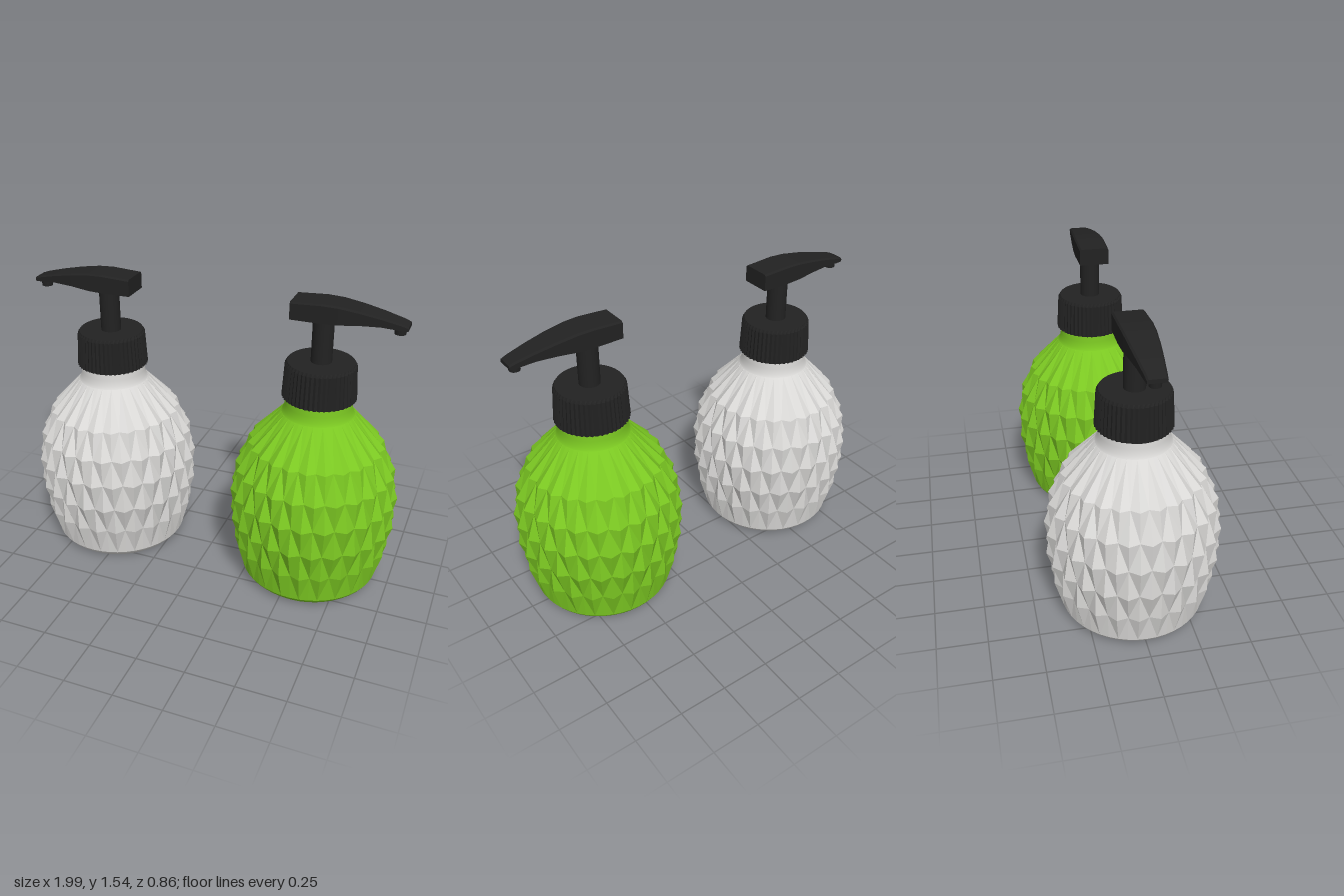
import * as THREE from 'three';

const green = new THREE.MeshStandardMaterial({ color: 0x7cc922 });
green.name = 'lime green';
const white = new THREE.MeshStandardMaterial({ color: 0xdad9d7 });
white.name = 'soft white';
const black = new THREE.MeshStandardMaterial({ color: 0x222222 });
black.name = 'pump black';

// Flat-faced skin over closed rings; each ring runs counter-clockwise seen from the far end.
function skin(rings, capped, flip = () => false) {
  const pos = [];
  const tri = (...pts) => pts.forEach((p) => pos.push(...p));
  const n = rings[0].length;
  for (let j = 0; j < rings.length - 1; j++) {
    for (let i = 0; i < n; i++) {
      const k = (i + 1) % n;
      const a = rings[j][i], b = rings[j][k], c = rings[j + 1][k], d = rings[j + 1][i];
      if (flip(i, j)) { tri(a, b, d); tri(b, c, d); }
      else { tri(a, b, c); tri(a, c, d); }
    }
  }
  if (capped) {
    const first = rings[0], last = rings[rings.length - 1];
    for (let i = 1; i < n - 1; i++) {
      tri(first[0], first[i + 1], first[i]);
      tri(last[0], last[i], last[i + 1]);
    }
  }
  const g = new THREE.BufferGeometry();
  g.setAttribute('position', new THREE.Float32BufferAttribute(pos, 3));
  g.computeVertexNormals();
  return g;
}

// Horizontal ring whose radius depends on the column
function ring(n, y, radius) {
  return Array.from({ length: n }, (_, i) => {
    const a = (i / n) * Math.PI * 2, r = radius(i);
    return [Math.cos(a) * r, y, -Math.sin(a) * r];
  });
}

function lathe(points) {
  return new THREE.LatheGeometry(points.map(([r, y]) => new THREE.Vector2(r, y)), 48);
}

// Body of tall diamonds: alternate columns stand out on alternate rows
function facetedBody() {
  const rows = [[0.36, 0.045], [0.405, 0.2], [0.43, 0.35], [0.433, 0.5],
    [0.41, 0.64], [0.347, 0.78], [0.182, 0.955]];
  const rings = rows.map(([r, y], j) => {
    const plain = j === 0 || j === rows.length - 1;
    return ring(48, y, (i) => (plain || (i + j) % 2 === 0 ? r : r * 0.935));
  });
  return skin(rings, false, (i, j) => (i + j) % 2 === 0);
}

// Ribbed screw collar with a plain bevelled top
function collar() {
  const n = 96;
  const ribbed = (r) => (i) => (i % 2 ? r - 0.007 : r);
  return skin([
    ring(n, 1.04, ribbed(0.186)),
    ring(n, 1.21, ribbed(0.176)),
    ring(n, 1.225, () => 0.165),
  ], true);
}

// Pump lever: chamfered sections along x as [x, bottom, top, half width]
function lever() {
  const sections = [[-0.15, 1.445, 1.532, 0.076], [0, 1.445, 1.54, 0.078],
    [0.08, 1.447, 1.537, 0.075], [0.18, 1.457, 1.523, 0.068],
    [0.28, 1.46, 1.504, 0.058], [0.37, 1.452, 1.483, 0.048], [0.403, 1.452, 1.471, 0.044]];
  return skin(sections.map(([x, b, t, w]) => {
    const c = Math.min(0.008, (t - b) / 3);
    return [[x, b, -w], [x, t - c, -w], [x, t, -w + c],
      [x, t, w - c], [x, t - c, w], [x, b, w]];
  }), true);
}

function part(name, geometry, material) {
  const m = new THREE.Mesh(geometry, material);
  m.name = name;
  return m;
}

function dispenser(name, colour) {
  const g = new THREE.Group();
  g.name = name;
  // Smooth foot and neck around the faceted body
  g.add(part('underside', new THREE.CircleGeometry(0.31, 48).rotateX(Math.PI / 2), colour));
  g.add(part('foot', lathe([[0.31, 0], [0.325, 0.006], [0.35, 0.03], [0.36, 0.045]]), colour));
  g.add(part('body', facetedBody(), colour));
  g.add(part('neck', lathe([[0.182, 0.955], [0.173, 0.97], [0.168, 1.0], [0.165, 1.05]]), colour));
  // Pump
  g.add(part('collar', collar(), black));
  g.add(part('stem', new THREE.CylinderGeometry(0.052, 0.052, 0.24, 32).translate(0, 1.335, 0), black));
  g.add(part('lever', lever(), black));
  g.add(part('nozzle', new THREE.CylinderGeometry(0.03, 0.027, 0.04, 20).translate(0.362, 1.44, 0), black));
  return g;
}

export function createModel() {
  const model = new THREE.Group();
  model.name = 'soapDispensers';
  const left = dispenser('greenDispenser', green);
  left.position.x = 0.567;
  const right = dispenser('whiteDispenser', white);
  right.position.x = -0.567;
  right.rotation.y = Math.PI;
  model.add(left, right);
  return model;
}
